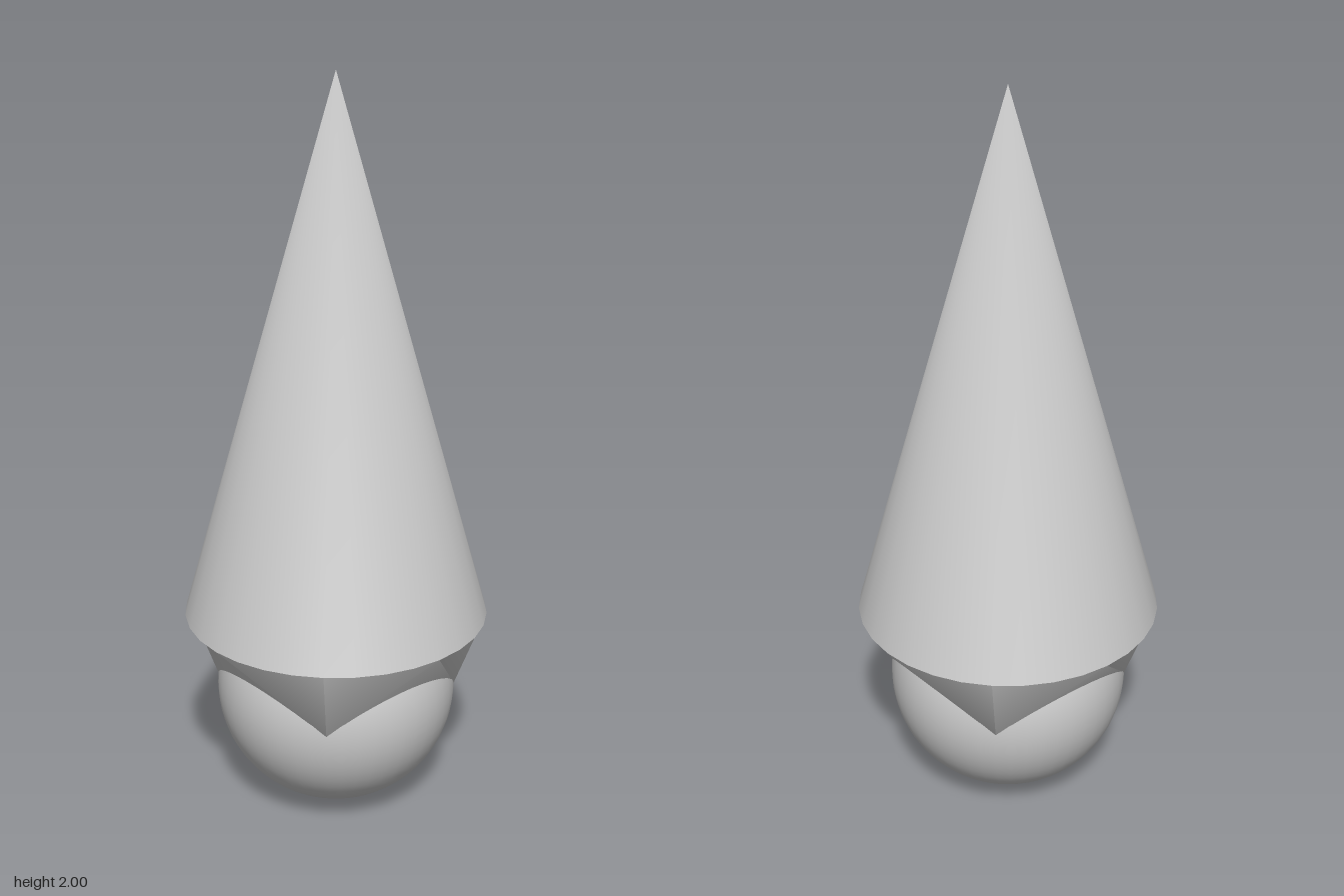
import * as THREE from 'three';
import { mergeVertices, toCreasedNormals } from 'three/addons/utils/BufferGeometryUtils.js';

const RIM_RADIUS = 0.409, RIM_Y = 0.545, TOP_Y = 2;
const BALL_RADIUS = 0.325;

// Point on a horizontal circle, angle counted in eighths of a turn from +z
const onCircle = (radius, y, eighth) => {
  const a = eighth * Math.PI / 4;
  return [radius * Math.sin(a), y, radius * Math.cos(a)];
};

// Tall cone whose side shares a single smooth apex
function spireGeometry() {
  const height = TOP_Y - RIM_Y;
  const cone = new THREE.ConeGeometry(RIM_RADIUS, height, 32, 1, true);
  cone.deleteAttribute('uv');
  cone.deleteAttribute('normal');
  const merged = mergeVertices(cone);
  merged.computeVertexNormals();
  return merged.translate(0, RIM_Y + height / 2, 0);
}

// Faceted collar: octagon at the rim narrowing to a square on the ball's equator
function collarGeometry() {
  const points = [];
  for (let side = 0; side < 8; side += 2) {
    const mid = onCircle(RIM_RADIUS, RIM_Y, side);
    const cornerL = onCircle(RIM_RADIUS, RIM_Y, side - 1);
    const cornerR = onCircle(RIM_RADIUS, RIM_Y, side + 1);
    const footL = onCircle(BALL_RADIUS, 0.328, side - 1);
    const footR = onCircle(BALL_RADIUS, 0.328, side + 1);
    points.push(...mid, ...footL, ...footR);
    points.push(...mid, ...footR, ...cornerR);
    points.push(...mid, ...cornerL, ...footL);
  }
  const geometry = new THREE.BufferGeometry();
  geometry.setAttribute('position', new THREE.Float32BufferAttribute(points, 3));
  return toCreasedNormals(geometry, Math.PI / 6);
}

export function createModel() {
  const model = new THREE.Group();
  model.name = 'pointedFinial';
  const material = new THREE.MeshStandardMaterial({ color: 0xcccccc });
  const add = (name, geometry) => {
    const mesh = new THREE.Mesh(geometry, material);
    mesh.name = name;
    model.add(mesh);
  };

  add('spire', spireGeometry());

  // Flat underside of the spire
  add('spireBase', new THREE.CircleGeometry(RIM_RADIUS, 32).rotateX(Math.PI / 2).translate(0, RIM_Y, 0));

  add('collar', collarGeometry());

  add('ball', new THREE.SphereGeometry(BALL_RADIUS, 48, 32).translate(0, BALL_RADIUS, 0));

  return model;
}
